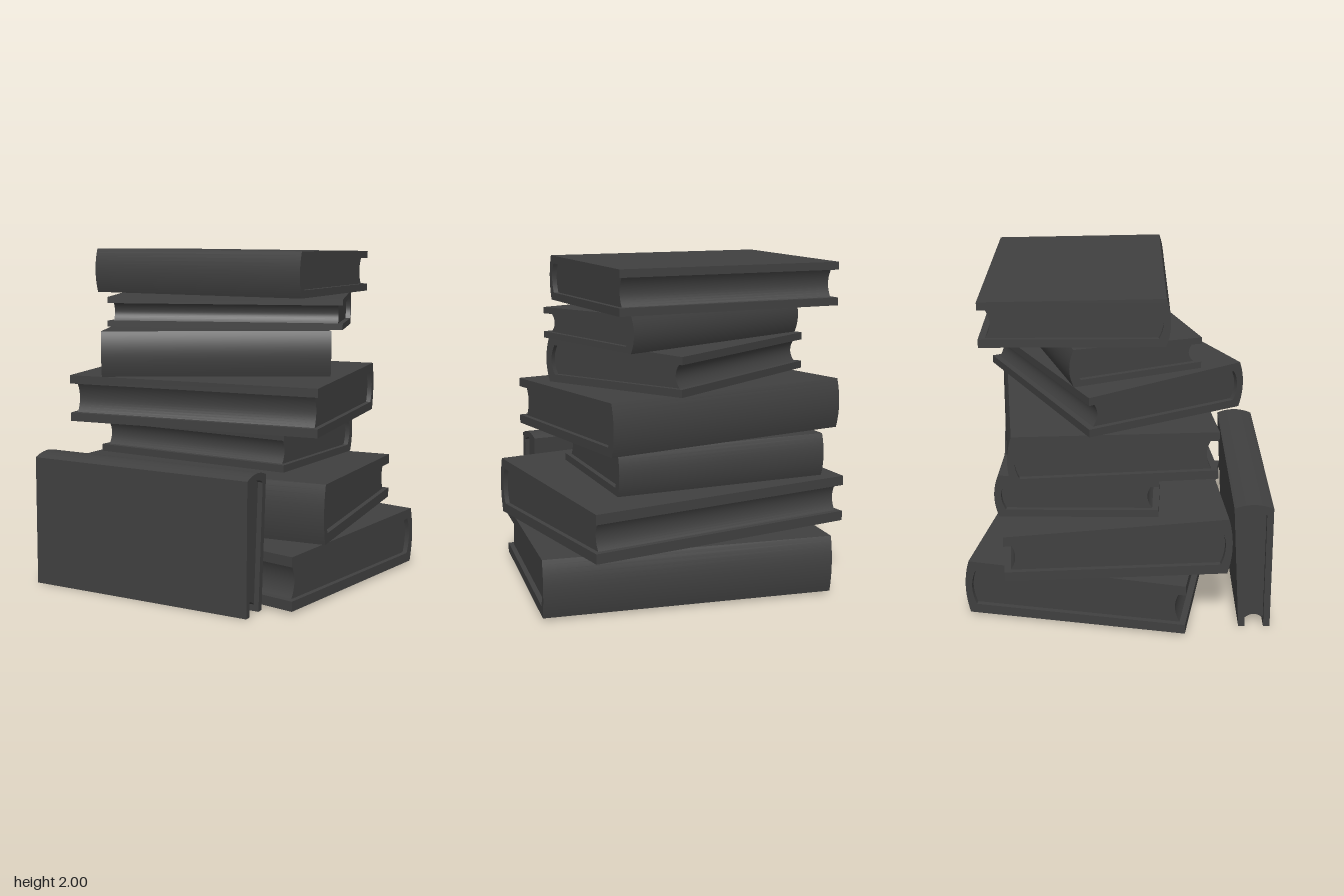
import * as THREE from 'three';
import { toCreasedNormals } from 'three/addons/utils/BufferGeometryUtils.js';

const material = new THREE.MeshStandardMaterial({ color: 0x404040 });
const BULGE = 0.025; // how far the spine curves outwards

// Extrudes a (z, y) profile along x, centred on x = 0.
function slab(name, shape, length) {
  const geometry = new THREE.ExtrudeGeometry(shape, { depth: length, bevelEnabled: false, curveSegments: 12 });
  geometry.translate(0, 0, -length / 2);
  geometry.rotateY(-Math.PI / 2);
  const mesh = new THREE.Mesh(toCreasedNormals(geometry, 0.5), material);
  mesh.name = name;
  return mesh;
}

// A closed book lying flat: spine towards +z, fore-edge towards -z.
// spine and fore hold the [bottom, top] heights at either side.
function makeBook(name, length, depth, spine, fore) {
  const zs = depth / 2 - BULGE, zf = -depth / 2;
  const board = 0.17 * (spine[1] - spine[0]);
  const heightAt = (z, side) => THREE.MathUtils.lerp(fore[side], spine[side], (z - zf) / (zs - zf));
  const bottom = (z, inset = 0) => heightAt(z, 0) + inset;
  const top = (z, inset = 0) => heightAt(z, 1) - inset;
  const middle = (spine[0] + spine[1]) / 2;
  const zi = zs - 0.04;

  // Hard cover: two boards joined by the rounded spine
  const cover = new THREE.Shape();
  cover.moveTo(zf, bottom(zf));
  cover.lineTo(zs, bottom(zs));
  cover.quadraticCurveTo(zs + 2 * BULGE, middle, zs, top(zs));
  cover.lineTo(zf, top(zf));
  cover.lineTo(zf, top(zf, board));
  cover.lineTo(zi, top(zi, board));
  cover.quadraticCurveTo(zi + 2 * BULGE, middle, zi, bottom(zi, board));
  cover.lineTo(zf, bottom(zf, board));
  cover.closePath();

  // Page block: hollow fore-edge, set back from the boards
  const zp = zf + 0.035, over = board - 0.003;
  const pages = new THREE.Shape();
  pages.moveTo(zp, bottom(zp, over));
  pages.lineTo(zi, bottom(zi, over));
  pages.quadraticCurveTo(zi + 2 * BULGE + 0.006, middle, zi, top(zi, over));
  pages.lineTo(zp, top(zp, over));
  pages.quadraticCurveTo(zp + 0.06, (fore[0] + fore[1]) / 2, zp, bottom(zp, over));

  const book = new THREE.Group();
  book.name = name;
  book.add(slab('cover', cover, length), slab('pages', pages, length - 0.06));
  return book;
}

export function createModel() {
  const model = new THREE.Group();
  model.name = 'bookStack';

  // Stack from the bottom up: centre x, z, turn in degrees, length, depth, spine heights, fore-edge heights
  const stack = [
    [0, -0.1, 169.8, 1.75, 1.32, [0.015, 0.36], [0.015, 0.33]],
    [-0.07, -0.065, 5, 1.73, 1.31, [0.36, 0.71], [0.365, 0.65]],
    [-0.155, -0.205, 177.5, 1.33, 0.94, [0.685, 0.945], [0.705, 0.94]],
    [-0.11, -0.105, 186.3, 1.6, 1.18, [0.95, 1.255], [0.95, 1.235]],
    [-0.145, -0.04, 28.6, 1.356, 0.99, [1.26, 1.53], [1.26, 1.49]],
    [-0.075, -0.13, 199.2, 1.43, 0.77, [1.51, 1.725], [1.535, 1.715]],
    [-0.13, -0.235, 0.3, 1.41, 1.04, [1.73, 2.0], [1.725, 1.98]],
  ];
  stack.forEach(([x, z, turn, length, depth, spine, fore], i) => {
    const book = makeBook(`stackedBook${i + 1}`, length, depth, spine, fore);
    book.position.set(x, 0, z);
    book.rotation.y = THREE.MathUtils.degToRad(turn);
    model.add(book);
  });

  // Book standing on its fore-edge against the front of the stack
  const upright = makeBook('uprightBook', 1.43, 0.8, [0.01, 0.235], [0, 0.185]);
  upright.rotation.x = -Math.PI / 2;
  upright.position.set(-0.155, 0.4, 0.9);
  model.add(upright);

  return model;
}
